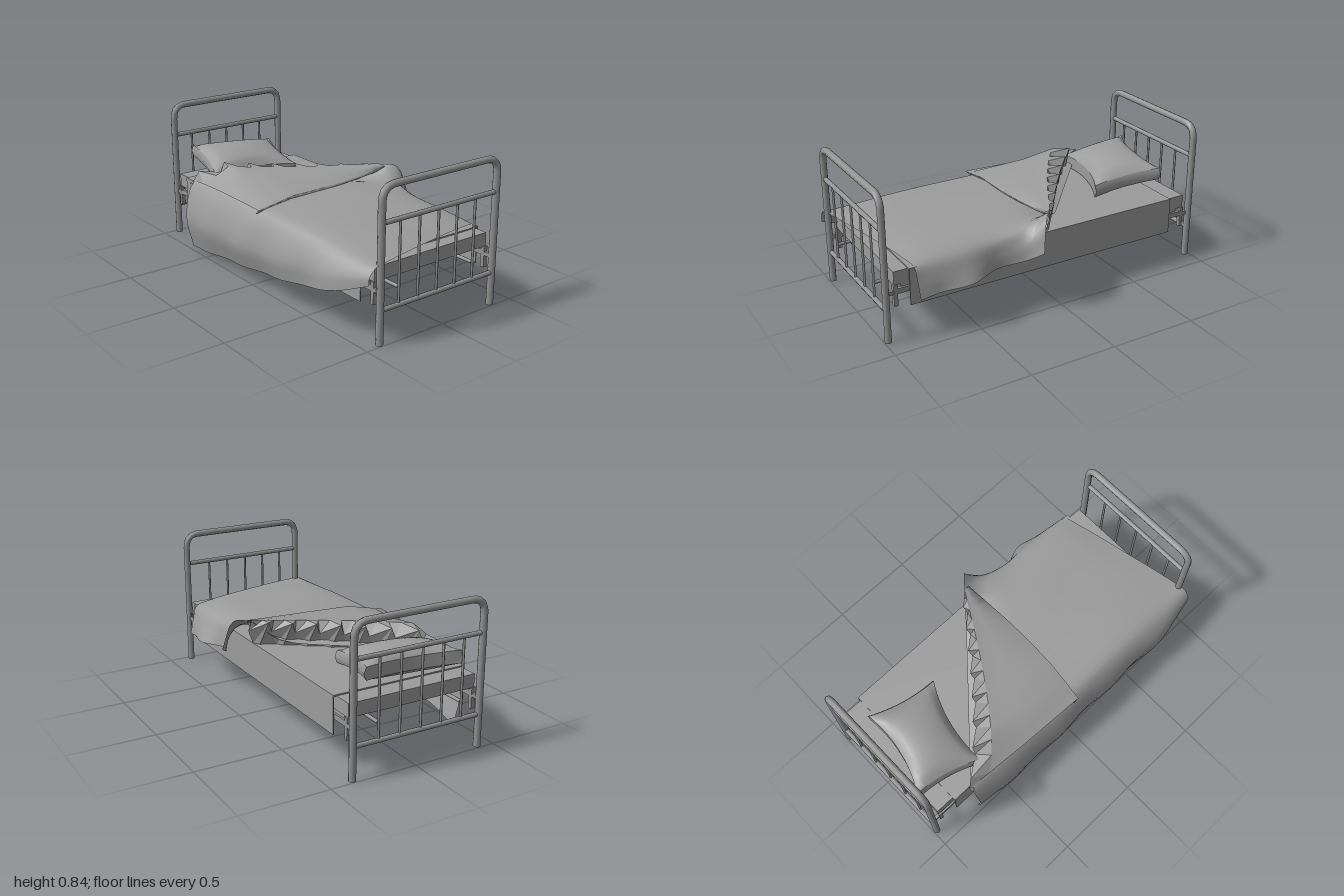
import * as THREE from 'three';

const CX = -0.02; // middle of the bed across its width
const metal = new THREE.MeshStandardMaterial({ color: 0x949494 });
const linen = new THREE.MeshStandardMaterial({ color: 0x9c9c9c });
const cloth = new THREE.MeshStandardMaterial({ color: 0x9c9c9c, side: THREE.DoubleSide });
const creased = new THREE.MeshStandardMaterial({ color: 0x9c9c9c, side: THREE.DoubleSide, flatShading: true });

function add(parent, name, geometry, material) {
  const mesh = new THREE.Mesh(geometry, material);
  mesh.name = name;
  parent.add(mesh);
  return mesh;
}

// Box given by its lowest and highest corners
function box(parent, name, a, b, material) {
  const mesh = add(parent, name, new THREE.BoxGeometry(b[0] - a[0], b[1] - a[1], b[2] - a[2]), material);
  mesh.position.set((a[0] + b[0]) / 2, (a[1] + b[1]) / 2, (a[2] + b[2]) / 2);
}

// Straight round bar between two points
function bar(parent, name, a, b, radius) {
  const start = new THREE.Vector3(...a), end = new THREE.Vector3(...b);
  const dir = end.clone().sub(start);
  const mesh = add(parent, name, new THREE.CylinderGeometry(radius, radius, dir.length(), 8), metal);
  mesh.position.copy(start).add(end).multiplyScalar(0.5);
  mesh.quaternion.setFromUnitVectors(new THREE.Vector3(0, 1, 0), dir.normalize());
}

// Surface through rows of points, each row the same length
function loft(rows) {
  const cols = rows[0].length, positions = [], index = [];
  rows.forEach(row => row.forEach(p => positions.push(p.x, p.y, p.z)));
  for (let r = 0; r < rows.length - 1; r++) {
    for (let c = 0; c < cols - 1; c++) {
      const i = r * cols + c;
      index.push(i, i + 1, i + cols, i + 1, i + cols + 1, i + cols);
    }
  }
  const geometry = new THREE.BufferGeometry();
  geometry.setAttribute('position', new THREE.Float32BufferAttribute(positions, 3));
  geometry.setIndex(index);
  geometry.computeVertexNormals();
  return geometry;
}

// Head and foot ends: bent tube, two cross rails and five spindles
function bedEnd(name, z) {
  const end = new THREE.Group();
  end.name = name;
  const w = 0.387, top = 0.82, r = 0.08;
  const v = (x, y) => new THREE.Vector3(CX + x, y, z);
  const path = new THREE.CurvePath();
  path.add(new THREE.LineCurve3(v(-w, 0), v(-w, top - r)));
  path.add(new THREE.QuadraticBezierCurve3(v(-w, top - r), v(-w, top), v(-w + r, top)));
  path.add(new THREE.LineCurve3(v(-w + r, top), v(w - r, top)));
  path.add(new THREE.QuadraticBezierCurve3(v(w - r, top), v(w, top), v(w, top - r)));
  path.add(new THREE.LineCurve3(v(w, top - r), v(w, 0)));
  add(end, 'bentTube', new THREE.TubeGeometry(path, 80, 0.02, 8), metal);
  for (const x of [-w, w]) bar(end, 'postFoot', [CX + x, 0, z], [CX + x, 0.01, z], 0.02);
  for (const y of [0.185, 0.636]) bar(end, 'crossRail', [CX - w, y, z], [CX + w, y, z], 0.014);
  for (let i = -2; i <= 2; i++) {
    const x = -0.035 + i * 0.1265;
    bar(end, 'spindle', [x, 0.185, z], [x, 0.636, z], 0.007);
  }
  return end;
}

// Blanket cross-sections from left-hand hem to right-hand hem: [z at -x, z at +x, points x y]
const SECTIONS = [
  [0.99, 0.82, [[-.49, .34], [-.485, .38], [-.45, .42], [-.35, .43], [0, .43], [.28, .42], [.385, .40], [.41, .32], [.43, .23]]],
  [0.80, 0.72, [[-.53, .26], [-.52, .34], [-.46, .42], [-.35, .445], [0, .45], [.28, .44], [.385, .41], [.43, .33], [.45, .25]]],
  [0.50, 0.54, [[-.525, .18], [-.53, .30], [-.46, .43], [-.35, .46], [0, .465], [.28, .455], [.39, .42], [.44, .34], [.48, .27]]],
  [0.10, 0.36, [[-.50, .105], [-.53, .24], [-.46, .43], [-.35, .46], [0, .48], [.28, .465], [.39, .43], [.42, .35], [.43, .285]]],
  [-0.30, 0.18, [[-.49, .055], [-.53, .22], [-.45, .43], [-.35, .46], [0, .48], [.28, .475], [.40, .47], [.45, .40], [.47, .31]]],
  [-0.71, 0.02, [[-.47, 0], [-.51, .20], [-.44, .41], [-.35, .43], [0, .43], [.28, .44], [.40, .535], [.48, .53], [.53, .36]]],
];

function blanket() {
  const across = SECTIONS.map(([zl, zr, pts]) => new THREE.CatmullRomCurve3(pts.map(([x, y]) => {
    const w = THREE.MathUtils.clamp((x + 0.43) / 0.83, 0, 1.2);
    return new THREE.Vector3(x, y, THREE.MathUtils.lerp(zl, zr, w));
  }), false, 'centripetal'));
  const rows = [], n = 32, m = 24;
  for (let c = 0; c <= n; c++) {
    const along = new THREE.CatmullRomCurve3(across.map(curve => curve.getPoint(c / n)), false, 'centripetal');
    rows.push(Array.from({ length: m + 1 }, (_, i) => {
      const p = along.getPoint(i / m);
      const hang = THREE.MathUtils.clamp((0.42 - p.y) / 0.2, 0, 1);
      p.x += 0.008 * hang * Math.sin(p.z * 16); // soft waves in the hanging sides
      return p;
    }));
  }
  return loft(rows);
}

// Turned-down part: crumpled fold on the diagonal, free lip facing the foot
function turnDown() {
  const n = 16, base = [], crest = [], back = [], middle = [], lip = [], under = [];
  const p = (x, y, z) => new THREE.Vector3(x, y, z);
  for (let i = 0; i <= n; i++) {
    const t = i / n, zig = i % 2 ? 1 : -1, ends = Math.min(1, 8 * t);
    const x = THREE.MathUtils.lerp(-0.45, 0.40, t);
    const z = THREE.MathUtils.lerp(-0.75, 0.01, Math.pow(t, 0.8));
    const h = THREE.MathUtils.lerp(0.43, 0.53, ends);
    const lx = THREE.MathUtils.lerp(-0.49, 0.41, t);
    const ly = 0.455 + 0.045 * Math.min(1, t * 4) + 0.035 * t * t;
    const lz = 0.06 + 0.025 * Math.sin(t * Math.PI);
    base.push(p(x + 0.015 * zig, 0.40, z + 0.03));
    crest.push(p(x - 0.015 * zig, h - 0.02 + 0.03 * zig * ends, z - 0.025 * zig));
    back.push(p(x, h + 0.015 * ends, THREE.MathUtils.lerp(z, lz, 0.2)));
    middle.push(p((x + lx) / 2, (h + ly) / 2 + 0.005, (z + lz) / 2));
    lip.push(p(lx, ly, lz));
    under.push(p(lx, ly - 0.03, lz - 0.03));
  }
  return [loft([base, crest, back]), loft([back, middle, lip, under])];
}

// Pillow: a box warped to four corners, with drawn-in edges and a full middle
function pillow() {
  const g = new THREE.BoxGeometry(2, 2, 2, 14, 2, 14);
  const pos = g.attributes.position;
  const corner = [[-.29, .52, -.96], [.22, .495, -.865], [-.37, .44, -.58], [.14, .44, -.46]].map(c => new THREE.Vector3(...c));
  for (let i = 0; i < pos.count; i++) {
    const u0 = pos.getX(i), s = pos.getY(i), v0 = pos.getZ(i);
    const u = u0 * (1 - 0.09 * (1 - v0 * v0)), v = v0 * (1 - 0.2 * (1 - u0 * u0));
    const a = corner[0].clone().lerp(corner[1], (u + 1) / 2);
    const b = corner[2].clone().lerp(corner[3], (u + 1) / 2);
    a.lerp(b, (v + 1) / 2);
    const full = Math.sqrt((1 - u0 * u0) * (1 - v0 * v0));
    const swell = s === 0 && Math.abs(u0) > 0.99 ? 0.015 * u0 : 0; // rounded side rims
    pos.setXYZ(i, a.x + swell, a.y + s * (0.036 + 0.05 * full) + 0.014 * full, a.z);
  }
  g.computeVertexNormals();
  return g;
}

export function createModel() {
  const bed = new THREE.Group();
  bed.name = 'bed';
  bed.add(bedEnd('footEnd', 0.979), bedEnd('headEnd', -0.979));

  // Metal base: slab, long rails meeting the spindles, side rails and corner brackets
  box(bed, 'baseSlab', [-0.40, 0.297, -0.89], [0.36, 0.32, 0.89], linen);
  for (const s of [-1, 1]) {
    const x = -0.035 + s * 0.253;
    bar(bed, 'longRail', [x, 0.28, -0.975], [x, 0.28, 0.975], 0.01);
    const e = CX + s * 0.382;
    box(bed, 'sideRail', [e - 0.01, 0.268, -0.935], [e + 0.01, 0.298, 0.935], metal);
    for (const z of [-0.925, 0.925]) {
      box(bed, 'cornerBracket', [e - 0.012, 0.2, z - 0.011], [e + 0.012, 0.32, z + 0.011], metal);
      const out = Math.sign(z) * 0.95;
      box(bed, 'bracketArm', [e - 0.01, 0.268, out - 0.025], [e + 0.01, 0.29, out + 0.025], metal);
    }
  }

  // Mattress and the sheet hanging over both sides
  box(bed, 'mattress', [-0.405, 0.318, -0.935], [0.365, 0.395, 0.93], linen);
  box(bed, 'sheetTop', [-0.425, 0.393, -0.825], [0.385, 0.402, 0.85], linen);
  for (const x of [-0.425, 0.379]) box(bed, 'sheetSide', [x, 0.19, -0.825], [x + 0.006, 0.402, 0.85], linen);

  // Bedding
  add(bed, 'blanket', blanket(), cloth);
  const [fold, flap] = turnDown();
  add(bed, 'blanketFold', fold, creased);
  add(bed, 'blanketFlap', flap, cloth);
  add(bed, 'pillow', pillow(), linen);
  return bed;
}
